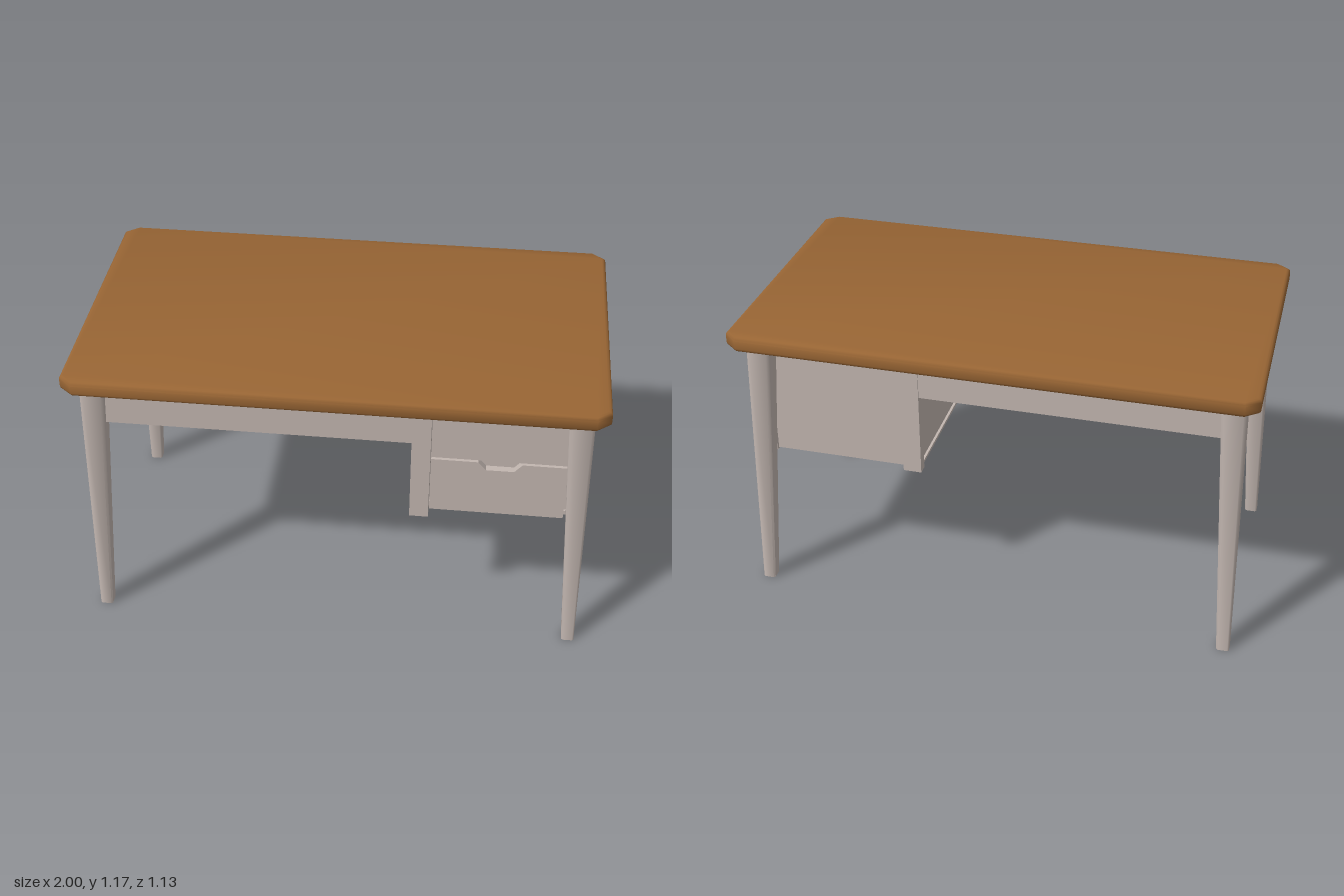
import * as THREE from 'three';
import { toCreasedNormals } from 'three/addons/utils/BufferGeometryUtils.js';

const wood = new THREE.MeshStandardMaterial({ color: 0x986534 });
wood.name = 'brown wood';
const paint = new THREE.MeshStandardMaterial({ color: 0xc2b6b0 });
paint.name = 'warm grey paint';

// Rectangle outline with cut corners
function cutRectangle(hw, hd, cw, cd) {
  return new THREE.Shape([
    [hw - cw, -hd], [hw, -hd + cd], [hw, hd - cd], [hw - cw, hd],
    [-hw + cw, hd], [-hw, hd - cd], [-hw, -hd + cd], [-hw + cw, -hd],
  ].map(([x, y]) => new THREE.Vector2(x, y)));
}

export function createModel() {
  const desk = new THREE.Group();
  desk.name = 'desk';

  function add(name, geometry, material = paint) {
    const mesh = new THREE.Mesh(geometry, material);
    mesh.name = name;
    desk.add(mesh);
    return mesh;
  }

  // Box given by its limits on each axis
  function slab(name, [x0, x1], [y0, y1], [z0, z1]) {
    const mesh = add(name, new THREE.BoxGeometry(x1 - x0, y1 - y0, z1 - z0));
    mesh.position.set((x0 + x1) / 2, (y0 + y1) / 2, (z0 + z1) / 2);
  }

  // Tabletop with cut corners and softened edges
  const bevel = 0.015;
  const top = new THREE.ExtrudeGeometry(cutRectangle(1 - bevel, 0.567 - bevel, 0.042, 0.034), {
    depth: 0.061 - 2 * bevel, bevelEnabled: true, bevelSize: bevel,
    bevelThickness: bevel, bevelSegments: 3,
  });
  top.rotateX(-Math.PI / 2).translate(0, 1.105 + bevel, 0);
  add('tabletop', toCreasedNormals(top, 0.95), wood);

  // Tapered, splayed legs
  const legTop = 1.11;
  function leg(sx, sz) {
    const g = new THREE.ExtrudeGeometry(cutRectangle(0.5, 0.5, 0.12, 0.12), { depth: legTop, bevelEnabled: false });
    g.rotateX(-Math.PI / 2);
    const p = g.attributes.position;
    for (let i = 0; i < p.count; i++) {
      const t = p.getY(i) / legTop;
      const mix = (a, b) => THREE.MathUtils.lerp(a, b, t);
      p.setX(i, sx * mix(0.945, 0.902) + p.getX(i) * mix(0.05, 0.095));
      p.setZ(i, sz * mix(0.481, 0.434) + p.getZ(i) * mix(0.05, 0.086));
    }
    g.computeVertexNormals();
    add(`${sz > 0 ? 'front' : 'back'}${sx > 0 ? 'Left' : 'Right'}Leg`, toCreasedNormals(g, 0.9));
  }
  for (const sx of [-1, 1]) for (const sz of [-1, 1]) leg(sx, sz);

  // Aprons around the knee space and the panel under the top
  slab('frontApron', [-0.89, 0.31], [0.912, 1.1], [0.42, 0.455]);
  slab('backApron', [-0.89, 0.31], [0.912, 1.1], [-0.41, -0.385]);
  slab('sideApron', [-0.922, -0.89], [0.912, 1.1], [-0.41, 0.43]);
  slab('undersidePanel', [-0.9, 0.9], [1.096, 1.11], [-0.41, 0.44]);

  // Drawer cabinet
  slab('frontPost', [0.29, 0.362], [0.573, 1.11], [0.425, 0.473]);
  slab('backPost', [0.29, 0.362], [0.573, 1.11], [-0.415, -0.375]);
  slab('dividerPanel', [0.31, 0.362], [0.585, 1.11], [-0.375, 0.425]);
  slab('dividerFoot', [0.3, 0.362], [0.573, 0.585], [-0.375, 0.425]);
  slab('cabinetSide', [0.89, 0.922], [0.582, 1.11], [-0.41, 0.435]);
  slab('cabinetBottom', [0.362, 0.89], [0.594, 0.61], [-0.395, 0.425]);
  slab('cabinetBack', [0.362, 0.89], [0.588, 1.085], [-0.4, -0.38]);
  slab('cabinetInnerFront', [0.362, 0.89], [0.6, 1.1], [0.4, 0.415]);
  slab('cabinetTopRail', [0.362, 0.89], [1.085, 1.11], [0.415, 0.445]);

  // Drawer fronts with a finger notch in the upper edge
  function drawerFront(name, y0, y1) {
    const shape = new THREE.Shape([
      [0.364, y0], [0.874, y0], [0.874, y1], [0.705, y1], [0.675, y1 - 0.035],
      [0.57, y1 - 0.035], [0.54, y1], [0.364, y1],
    ].map(([x, y]) => new THREE.Vector2(x, y)));
    const g = new THREE.ExtrudeGeometry(shape, { depth: 0.028, bevelEnabled: false });
    add(name, g.translate(0, 0, 0.418));
  }
  drawerFront('upperDrawerFront', 0.846, 1.08);
  drawerFront('lowerDrawerFront', 0.592, 0.836);

  return desk;
}
